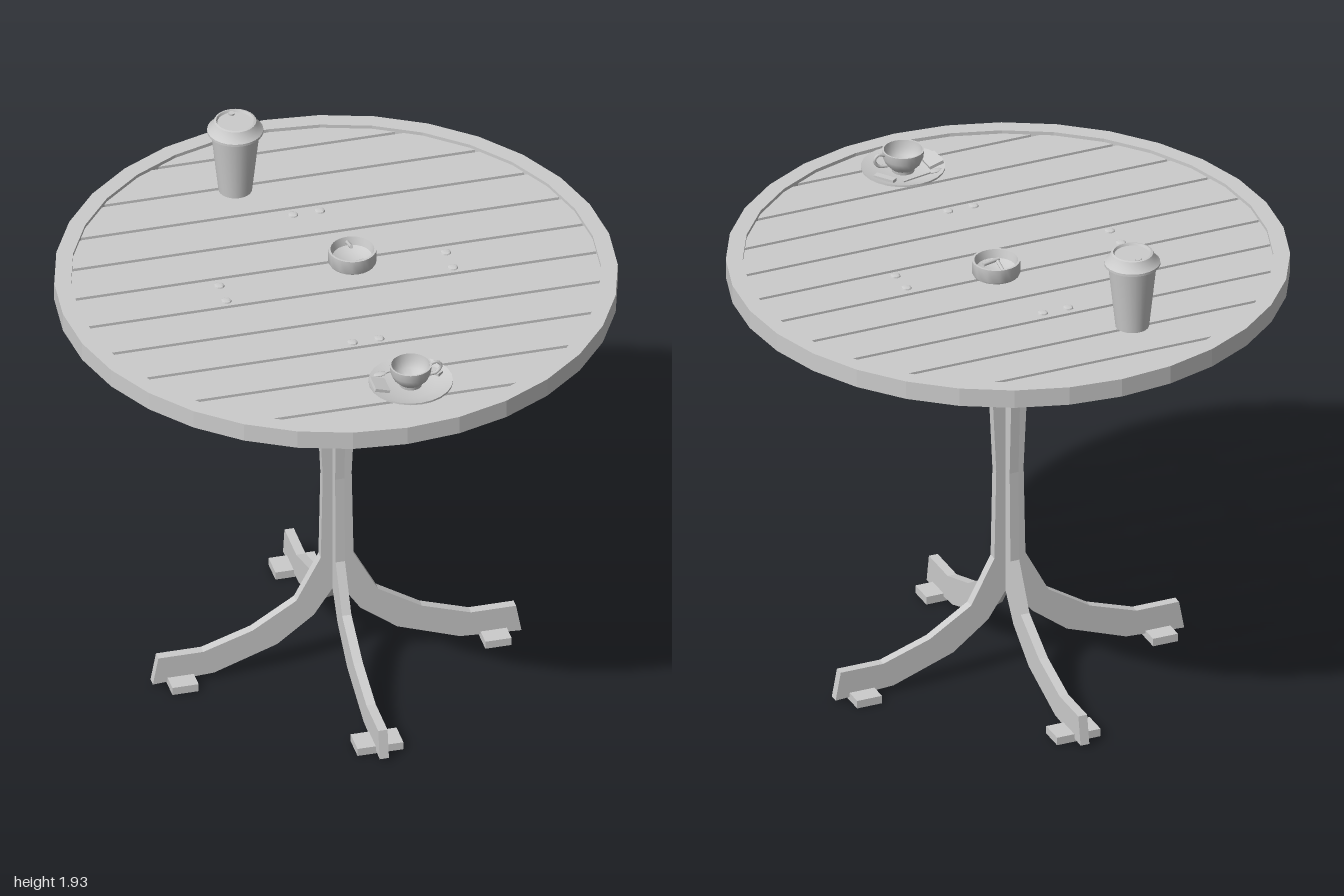
import * as THREE from 'three';
import { toCreasedNormals } from 'three/addons/utils/BufferGeometryUtils.js';

export function createModel() {
  const model = new THREE.Group();
  const grey = new THREE.MeshStandardMaterial({ color: 0xcccccc });
  grey.name = 'plain grey';

  function add(name, geometry, x = 0, y = 0, z = 0, parent = model) {
    const mesh = new THREE.Mesh(geometry, grey);
    mesh.name = name;
    mesh.position.set(x, y, z);
    parent.add(mesh);
    return mesh;
  }
  const vectors = (pts) => pts.map(([x, y]) => new THREE.Vector2(x, y));
  const lathe = (pts, sides = 24) =>
    toCreasedNormals(new THREE.LatheGeometry(vectors(pts), sides), 0.6);
  // Horizontal slab from a shape drawn in x and -z
  const slab = (shape, depth) =>
    new THREE.ExtrudeGeometry(shape, { depth, bevelEnabled: false, curveSegments: 16 }).rotateX(-Math.PI / 2);

  // Table rim
  const ring = new THREE.Shape().absarc(0, 0, 1, 0, Math.PI * 2);
  ring.holes.push(new THREE.Path().absarc(0, 0, 0.94, 0, Math.PI * 2, true));
  add('tableRim', slab(ring, 0.07), 0, 1.575, 0);

  // Planks, their ends following the round rim
  const deck = 1.632, reach = 0.955, pitch = 0.1815, gap = 0.015;
  for (let i = 0; i < 11; i++) {
    const middle = (i - 5) * pitch - 0.005;
    const z0 = i === 0 ? -0.95 : middle - (pitch - gap) / 2;
    const z1 = i === 10 ? 0.95 : middle + (pitch - gap) / 2;
    const right = [], left = [];
    for (let k = 0; k <= 6; k++) {
      const z = z0 + (z1 - z0) * k / 6;
      const x = Math.sqrt(reach * reach - z * z);
      right.push([x, -z]);
      left.unshift([-x, -z]);
    }
    add('plank', slab(new THREE.Shape(vectors([...right, ...left])), deck - 1.59), 0, 1.59, 0);
  }

  // Four curved legs, each with foot, bracket and bolts
  const legShape = new THREE.Shape(vectors([
    [0.015, 0.315], [0.085, 0.21], [0.22, 0.107], [0.45, 0.025], [0.675, 0.012],
    [0.655, 0.12], [0.49, 0.12], [0.31, 0.18], [0.15, 0.28], [0.06, 0.45],
    [0.053, 0.8], [0.067, 1.1], [0.135, 1.31], [0.215, 1.42], [0.335, 1.49],
    [0.49, 1.49], [0.515, 1.575], [0.18, 1.575], [0.13, 1.5], [0.015, 1.3],
  ]));
  const legGeometry = new THREE.ExtrudeGeometry(legShape, { depth: 0.034, bevelEnabled: false });
  legGeometry.translate(0, 0, -0.017);
  const footGeometry = new THREE.BoxGeometry(0.096, 0.03, 0.168);
  const bracketGeometry = new THREE.BoxGeometry(0.1, 0.014, 0.168);
  const headGeometry = lathe([[0.019, 0], [0.017, 0.005], [0.01, 0.009], [0, 0.01]], 12);
  const tipGeometry = new THREE.CylinderGeometry(0.008, 0.006, 0.04, 8);
  for (let i = 0; i < 4; i++) {
    const arm = new THREE.Group();
    arm.name = 'legAssembly';
    arm.rotation.y = i * Math.PI / 2;
    model.add(arm);
    add('leg', legGeometry, 0, 0, 0, arm);
    add('foot', footGeometry, 0.573, 0.017, 0, arm);
    add('bracket', bracketGeometry, 0.415, 1.583, 0, arm);
    for (const side of [-1, 1]) {
      add('boltHead', headGeometry, 0.415, deck, side * 0.049, arm);
      add('boltTip', tipGeometry, 0.415, 1.57, side * 0.049, arm);
    }
  }

  // Takeaway cup with lid
  const takeaway = new THREE.Group();
  takeaway.name = 'takeawayCup';
  takeaway.position.set(-0.205, deck, -0.625);
  model.add(takeaway);
  add('paperCup', lathe([[0, 0], [0.06, 0], [0.087, 0.25], [0, 0.25]]), 0, 0, 0, takeaway);
  add('lid', lathe([[0, 0.248], [0.1, 0.248], [0.1, 0.257], [0.085, 0.272], [0.075, 0.293],
    [0.068, 0.295], [0.064, 0.286], [0, 0.286]]), 0, 0, 0, takeaway);
  add('sipHole', new THREE.CylinderGeometry(0.011, 0.011, 0.008, 10), 0, 0.289, -0.052, takeaway);

  // Ashtray with two stubs
  const ashtray = new THREE.Group();
  ashtray.name = 'ashtray';
  ashtray.position.set(0.08, deck, -0.077);
  model.add(ashtray);
  add('ashtrayBowl', lathe([[0, 0], [0.082, 0], [0.086, 0.008], [0.086, 0.056], [0.078, 0.056],
    [0.07, 0.025], [0.045, 0.012], [0, 0.01]]), 0, 0, 0, ashtray);
  const stubGeometry = new THREE.CylinderGeometry(0.007, 0.007, 0.07, 8).rotateX(Math.PI / 2);
  add('stub', stubGeometry, 0, 0.045, -0.047, ashtray).rotation.x = -0.3;
  add('stub', stubGeometry, 0, 0.025, 0.045, ashtray).rotation.y = Math.PI / 2 + 0.25;

  // Coffee cup on a saucer
  const coffee = new THREE.Group();
  coffee.name = 'coffeeSet';
  coffee.position.set(0.08, deck, 0.738);
  model.add(coffee);
  add('saucer', lathe([[0, 0], [0.085, 0], [0.15, 0.025], [0.15, 0.032], [0.09, 0.014], [0, 0.012]]),
    0, 0, 0, coffee);
  add('cup', lathe([[0, 0.013], [0.04, 0.013], [0.042, 0.025], [0.062, 0.045], [0.072, 0.068],
    [0.075, 0.098], [0.069, 0.098], [0.066, 0.07], [0.054, 0.046], [0.035, 0.032], [0, 0.03]]),
    0, 0, 0, coffee);
  const handlePath = new THREE.CatmullRomCurve3([[0.068, 0.086], [0.095, 0.094], [0.111, 0.076],
    [0.095, 0.05], [0.062, 0.044]].map(([x, y]) => new THREE.Vector3(x, y, 0)));
  add('cupHandle', new THREE.TubeGeometry(handlePath, 16, 0.006, 8), 0, 0, 0, coffee);

  // Sugar packet, biscuit and spoon on the saucer
  add('sugarPacket', new THREE.BoxGeometry(0.055, 0.012, 0.08), -0.113, 0.029, 0, coffee).rotation.z = -0.3;
  const biscuit = add('biscuit', new THREE.BoxGeometry(0.08, 0.012, 0.025), 0.092, 0.026, -0.05, coffee);
  biscuit.rotation.y = -0.95;
  const spoon = new THREE.Group();
  spoon.name = 'spoon';
  spoon.position.set(-0.05, 0.026, -0.08);
  spoon.rotation.y = 0.2;
  coffee.add(spoon);
  add('spoonHandle', new THREE.BoxGeometry(0.13, 0.005, 0.008), 0.03, 0, 0, spoon);
  add('spoonBowl', new THREE.SphereGeometry(0.018, 12, 8).scale(1.5, 0.25, 0.8), -0.045, 0, 0, spoon);

  return model;
}
